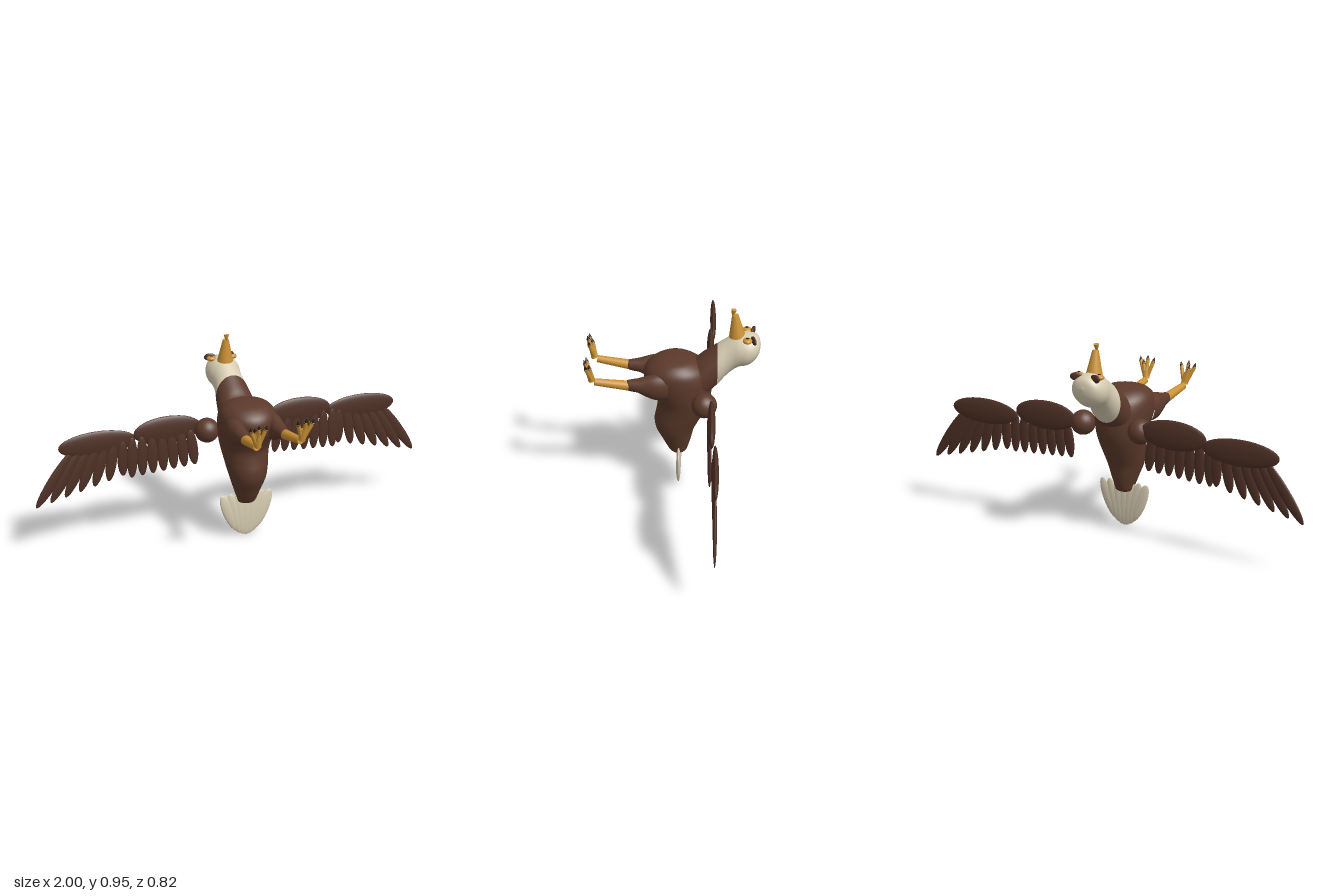
import * as THREE from 'three';

const mat = (name, color) => {
  const m = new THREE.MeshStandardMaterial({ color });
  m.name = name;
  return m;
};

export function createModel() {
  const brown = mat('body brown', 0x5c3a2b);
  const wingBrown = mat('wing brown', 0x4f3126);
  const cream = mat('cream', 0xd8cdb2);
  const gold = mat('gold', 0xcb9234);
  const dark = mat('claw dark', 0x211814);
  const root = new THREE.Group();
  root.name = 'bird';

  const add = (parent, name, geo, material) => {
    const m = new THREE.Mesh(geo, material);
    m.name = name;
    parent.add(m);
    return m;
  };

  // Smooth loft through rings [t, low, high, halfWidth]; t rises along y, or falls along z
  const loft = (rings, axis, splitRing = 0) => {
    const per = 4, around = 36, steps = (rings.length - 1) * per;
    const shape = new THREE.CatmullRomCurve3(rings.map(r => new THREE.Vector3(r[1], r[2], r[3])), false, 'catmullrom', 0.5);
    const path = new THREE.CatmullRomCurve3(rings.map(r => new THREE.Vector3(r[0], 0, 0)), false, 'catmullrom', 0.5);
    const pos = [], idx = [];
    for (let i = 0; i <= steps; i++) {
      const s = shape.getPoint(i / steps), t = path.getPoint(i / steps).x;
      const c = (s.x + s.y) / 2, r = (s.y - s.x) / 2;
      for (let j = 0; j < around; j++) {
        const a = j / around * Math.PI * 2;
        const x = s.z * Math.sin(a), d = c + r * Math.cos(a);
        if (axis === 'y') pos.push(x, t, d); else pos.push(x, d, t);
      }
    }
    for (let i = 0; i < steps; i++) for (let j = 0; j < around; j++) {
      const k = (j + 1) % around, p = i * around, q = p + around;
      idx.push(p + j, p + k, q + k, p + j, q + k, q + j);
    }
    const g = new THREE.BufferGeometry();
    g.setAttribute('position', new THREE.Float32BufferAttribute(pos, 3));
    g.setIndex(idx);
    g.computeVertexNormals();
    if (splitRing) {
      const cut = splitRing * per * around * 6;
      g.addGroup(0, cut, 0);
      g.addGroup(cut, idx.length - cut, 1);
    }
    return g;
  };

  const ball = (parent, name, p, r, material) => {
    const m = add(parent, name, new THREE.SphereGeometry(1, 24, 16), material);
    m.position.set(...p);
    m.scale.set(...r);
    return m;
  };

  // Tapered cylinder from a to b
  const limb = (parent, name, a, b, ra, rb, material) => {
    const va = new THREE.Vector3(...a), vb = new THREE.Vector3(...b);
    const dir = vb.clone().sub(va), len = dir.length();
    const m = add(parent, name, new THREE.CylinderGeometry(rb, ra, len, 16), material);
    m.position.copy(va).add(vb).multiplyScalar(0.5);
    m.quaternion.setFromUnitVectors(new THREE.Vector3(0, 1, 0), dir.normalize());
    return m;
  };

  // Flat ellipsoid feather in the xy plane
  const feather = (parent, name, x0, y0, x1, y1, z, w, th, material) => {
    const dx = x1 - x0, dy = y1 - y0;
    const m = ball(parent, name, [(x0 + x1) / 2, (y0 + y1) / 2, z], [w, Math.hypot(dx, dy) / 2, th], material);
    m.rotation.z = Math.atan2(dx, -dy);
    return m;
  };

  // Body
  add(root, 'body', loft([
    [0.178, -0.03, -0.03, 0], [0.188, -0.064, 0.008, 0.04], [0.22, -0.078, 0.03, 0.053],
    [0.27, -0.092, 0.055, 0.07], [0.32, -0.105, 0.08, 0.087], [0.37, -0.13, 0.087, 0.099],
    [0.42, -0.155, 0.078, 0.108], [0.47, -0.175, 0.073, 0.118], [0.52, -0.185, 0.095, 0.128],
    [0.57, -0.187, 0.125, 0.135], [0.62, -0.18, 0.138, 0.138], [0.66, -0.16, 0.126, 0.13],
    [0.69, -0.12, 0.09, 0.105], [0.705, -0.08, 0.05, 0.07], [0.712, -0.01, -0.01, 0],
  ], 'y'), brown);

  // Neck and head, brown up to the collar and cream beyond
  add(root, 'neckAndHead', loft([
    [-0.02, 0.46, 0.68, 0.09], [-0.1, 0.47, 0.69, 0.1], [-0.15, 0.505, 0.728, 0.095], [-0.21, 0.568, 0.772, 0.084],
    [-0.25, 0.615, 0.8, 0.075], [-0.28, 0.645, 0.82, 0.075], [-0.31, 0.667, 0.831, 0.081],
    [-0.35, 0.676, 0.835, 0.083], [-0.385, 0.702, 0.827, 0.068], [-0.404, 0.735, 0.81, 0.042],
    [-0.412, 0.775, 0.775, 0],
  ], 'z', 3), [brown, cream]);

  // Beak with hooked tip
  limb(root, 'beak', [0, 0.82, -0.301], [0, 0.93, -0.289], 0.039, 0.015, gold);
  limb(root, 'beakTip', [0, 0.922, -0.277], [0, 0.957, -0.283], 0.003, 0.013, gold);

  // Tail fan
  for (let i = -3; i <= 3; i++) {
    feather(root, 'tailFeather', i * 0.042, 0.24 - Math.abs(i) * 0.004, i * 0.014, 0.005 + i * i * 0.003,
      -0.03 + i * 0.0005, 0.034, 0.011, cream);
  }

  for (const s of [1, -1]) {
    const side = s > 0 ? 'left' : 'right';

    // Eye and brow
    ball(root, side + 'Eye', [s * 0.054, 0.823, -0.347], [0.024, 0.013, 0.022], gold);
    ball(root, side + 'Pupil', [s * 0.054, 0.833, -0.347], [0.009, 0.005, 0.009], dark);
    const brow = ball(root, side + 'Brow', [s * 0.05, 0.821, -0.376], [0.03, 0.019, 0.009], wingBrown);
    brow.rotation.y = s * 0.3;

    // Wing: shoulder, two coverts, two rows of feathers
    const wing = new THREE.Group();
    wing.name = side + 'Wing';
    root.add(wing);
    ball(wing, 'shoulder', [s * 0.155, 0.533, -0.15], [0.06, 0.06, 0.06], brown);
    ball(wing, 'innerCovert', [s * 0.345, 0.55, -0.183], [0.17, 0.071, 0.018], wingBrown);
    ball(wing, 'outerCovert', [s * 0.69, 0.525, -0.198], [0.19, 0.063, 0.015], wingBrown);
    for (let i = 0; i < 7; i++) {
      const f = i / 6;
      feather(wing, 'innerFeather', s * (0.235 + f * 0.29), 0.54, s * (0.21 + f * 0.32), 0.355 - f * 0.02,
        -0.172 - i * 0.0005, 0.027, 0.009, wingBrown);
      feather(wing, 'outerFeather', s * (0.57 + f * 0.24), 0.53 - f * 0.02, s * (0.57 + f * 0.43), 0.345 - f * 0.1,
        -0.19 - i * 0.001, 0.027, 0.009, wingBrown);
    }

    // Leg: thigh, shin, foot
    const leg = new THREE.Group();
    leg.name = side + 'Leg';
    root.add(leg);
    const thigh = add(leg, 'thigh', loft([
      [0.218, 0.604, 0.604, 0], [0.214, 0.583, 0.626, 0.021], [0.19, 0.574, 0.633, 0.027],
      [0.16, 0.568, 0.638, 0.033], [0.13, 0.55, 0.648, 0.037], [0.08, 0.53, 0.66, 0.045], [0.02, 0.53, 0.66, 0.04],
    ], 'z'), brown);
    thigh.position.x = s * 0.096;
    limb(leg, 'shin', [s * 0.098, 0.603, 0.205], [s * 0.108, 0.628, 0.363], 0.024, 0.017, gold);
    limb(leg, 'ankle', [s * 0.108, 0.635, 0.375], [s * 0.113, 0.69, 0.388], 0.017, 0.014, gold);
    for (const [dx, dz, y] of [[-0.035, 0, 0.718], [0, 0.006, 0.726], [0.035, 0, 0.718], [0.012, -0.014, 0.708]]) {
      const tip = [s * (0.115 + dx), y, 0.397 + dz];
      limb(leg, 'toe', [s * (0.11 + dx * 0.2), 0.645, 0.377 + dz * 0.4], tip, 0.01, 0.009, gold);
      ball(leg, 'toeTip', tip, [0.009, 0.009, 0.009], gold);
      limb(leg, 'claw', tip, [s * (0.115 + dx * 1.15), y + 0.022, 0.402 + dz], 0.0095, 0.001, dark);
    }
  }
  return root;
}
